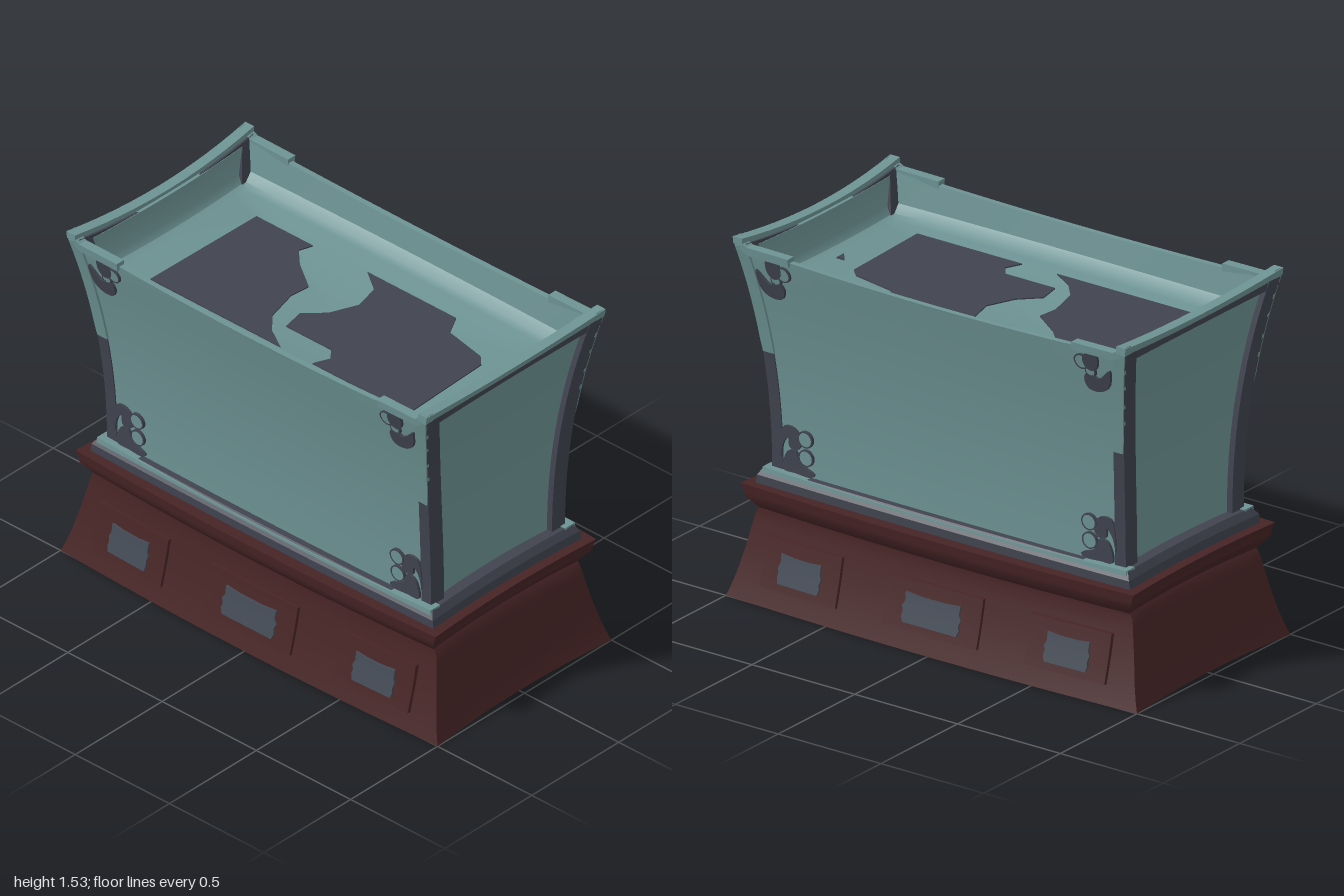
import * as THREE from 'three';
import { toCreasedNormals } from 'three/addons/utils/BufferGeometryUtils.js';

const mat = (name, color) => {
  const m = new THREE.MeshStandardMaterial({ color });
  m.name = name;
  return m;
};

// Turn loose triangles into an outward-facing solid with creased normals
function finish(geo, crease = 0.6) {
  const g = geo.index ? geo.toNonIndexed() : geo;
  const p = g.attributes.position.array;
  const a = new THREE.Vector3(), b = new THREE.Vector3(), c = new THREE.Vector3();
  let volume = 0;
  for (let i = 0; i < p.length; i += 9) {
    a.fromArray(p, i); b.fromArray(p, i + 3); c.fromArray(p, i + 6);
    volume += a.dot(b.cross(c));
  }
  if (volume < 0) {
    for (let i = 0; i < p.length; i += 9) {
      for (let k = 0; k < 3; k++) [p[i + 3 + k], p[i + 6 + k]] = [p[i + 6 + k], p[i + 3 + k]];
    }
  }
  return toCreasedNormals(g, crease);
}

// Skin a row of closed rings and cap both ends
function loft(rings, crease) {
  const out = [], n = rings[0].length;
  const tri = (...pts) => pts.forEach(q => out.push(...q));
  for (let r = 0; r + 1 < rings.length; r++) {
    for (let i = 0; i < n; i++) {
      const j = (i + 1) % n, A = rings[r], B = rings[r + 1];
      tri(A[i], A[j], B[j]);
      tri(A[i], B[j], B[i]);
    }
  }
  [rings[0], rings[rings.length - 1]].forEach((R, end) => {
    const mid = [0, 1, 2].map(k => R.reduce((s, q) => s + q[k], 0) / n);
    for (let i = 0; i < n; i++) {
      const j = (i + 1) % n;
      end ? tri(mid, R[i], R[j]) : tri(mid, R[j], R[i]);
    }
  });
  const g = new THREE.BufferGeometry();
  g.setAttribute('position', new THREE.Float32BufferAttribute(out, 3));
  return finish(g, crease);
}

// Plan outline: long sides bow out, short ends dip in
function plan(hx, hz, bow, dip, y) {
  const pts = [], N = 12;
  const Y = (x, z) => (typeof y === 'function' ? y(x, z) : y);
  for (const s of [1, -1]) {
    for (let i = 0; i < N; i++) {
      const t = -1 + 2 * i / N, x = s * hx * t, z = s * (hz - dip * (1 - t * t));
      pts.push([x, Y(x, z), z]);
    }
    for (let i = 0; i < N; i++) {
      const t = 1 - 2 * i / N, x = s * (hx + bow * (1 - t * t)), z = s * hz * t;
      pts.push([x, Y(x, z), z]);
    }
  }
  return pts;
}

// Flared tank outline by height
const rise = y => Math.max(0, (y - 0.54) / 0.99);
const tankX = y => 0.385 + 0.13 * rise(y) ** 1.9;
const tankZ = y => 0.86 + 0.095 * rise(y) ** 2.4;
const steps = (a, b, n) => Array.from({ length: n + 1 }, (_, i) => a + (b - a) * i / n);

// Base moulding: [height, half width, half depth] at the corners
const BASE = [[0, 0.5, 1], [0.04, 0.488, 0.985], [0.1, 0.471, 0.967], [0.2, 0.445, 0.945], [0.3, 0.425, 0.925],
  [0.35, 0.415, 0.915], [0.37, 0.415, 0.9], [0.42, 0.455, 0.94], [0.44, 0.458, 0.941], [0.475, 0.462, 0.955]];
const baseX = (y, z) => {
  const i = Math.max(1, BASE.findIndex(l => l[0] >= y)), a = BASE[i - 1], b = BASE[i];
  return THREE.MathUtils.lerp(a[1], b[1], (y - a[0]) / (b[0] - a[0])) + 0.028 * (1 - z * z);
};
const glassX = (y, z) => tankX(y) - 0.006 + 0.01 * (1 - (z / 0.9) ** 2);

// Extrude an outline drawn in (z, y) and wrap it on the +x surface
function wrap(shape, surface, depth, side = 1) {
  const g = new THREE.ExtrudeGeometry(shape, { depth, bevelEnabled: false, curveSegments: 10 });
  const p = g.attributes.position;
  for (let i = 0; i < p.count; i++) {
    const z = p.getX(i), y = p.getY(i), w = p.getZ(i);
    p.setXYZ(i, surface(y, z) + (w > 0 ? w : -0.004), y, z * side);
  }
  return finish(g);
}
const poly = pts => new THREE.Shape(pts.map(q => new THREE.Vector2(...q)));
const blob = pts => new THREE.Shape(
  new THREE.CatmullRomCurve3(pts.map(q => new THREE.Vector3(q[0], q[1], 0)), true)
    .getPoints(28).slice(0, -1).map(q => new THREE.Vector2(q.x, q.y)));
const disc = (z, y, r, hole) => {
  const s = new THREE.Shape().absarc(z, y, r, 0, Math.PI * 2);
  if (hole) s.holes.push(new THREE.Path().absarc(z, y, hole, 0, Math.PI * 2, true));
  return s;
};
const rect = (x0, x1, z0, z1, y) => [[x0, y, z0], [x1, y, z0], [x1, y, z1], [x0, y, z1]];

export function createModel() {
  const teal = mat('teal glass', 0x6d9293);
  const slate = mat('dark slate frame', 0x40434f);
  const wood = mat('dark red wood', 0x472425);
  const steel = mat('plate metal', 0x434a55);
  const model = new THREE.Group();
  model.name = 'tank';
  const add = (parent, name, geo, m) => {
    const mesh = new THREE.Mesh(geo, m);
    mesh.name = name;
    parent.add(mesh);
  };

  // Wooden base and the tray on it
  add(model, 'base', loft(BASE.map(([y, x, z]) => plan(x, z, 0.028, 0.028 - 0.02 * y, y))), wood);
  add(model, 'tray', loft([[0.46, 0.425, 0.912], [0.51, 0.425, 0.905], [0.54, 0.405, 0.885]]
    .map(([y, x, z]) => plan(x, z, 0.012, 0.015, y)), 0.4), slate);

  // Glass walls, turned over at the lip and closed by the water surface
  const lip = (x, z) => 1.47 + 0.02 * (z / 0.93) ** 2;
  const walls = steps(0.53, 1.44, 10).map(y => plan(tankX(y) - 0.006, tankZ(y) - 0.02, 0.01, 0.02, y));
  const top = [tankX(1.47), tankZ(1.47)];
  walls.push(plan(top[0] - 0.006, top[1] - 0.02, 0.01, 0.02, lip));
  walls.push(plan(top[0] - 0.03, top[1] - 0.045, 0.01, 0.02, lip));
  walls.push(plan(0.452, 0.89, 0.01, 0.015, 1.37));
  walls.push(plan(0.42, 0.87, 0.01, 0.015, 1.34));
  walls.push(plan(0.385, 0.84, 0.01, 0.015, 1.33));
  add(model, 'glass', loft(walls), teal);

  // Dark shapes on the water
  const pools = [
    [[-.32, -.69], [.28, -.68], [.28, -.38], [.22, -.4], [.15, -.33], [.06, -.2], [-.03, -.21], [-.18, -.17], [-.26, -.1], [-.32, 0]],
    [[-.32, .17], [-.25, .2], [-.2, .16], [-.2, -.08], [-.1, -.1], [-.02, -.02], [.1, .03], [.22, 0], [.29, -.1],
      [.29, .37], [.2, .42], [.16, .62], [.12, .66], [-.32, .68]],
    [[.01, .79], [.06, .75], [.06, .79]]];
  for (const pts of pools) {
    const g = new THREE.ExtrudeGeometry(poly(pts), { depth: 0.006, bevelEnabled: false });
    g.rotateX(Math.PI / 2).translate(0, 1.335, 0);
    add(model, 'waterPatch', finish(g), slate);
  }

  // Short ends: posts and curved top bars
  const bar = (hx, y0, y1, sag0, sag1, z0, z1) => loft(steps(-1, 1, 12).map(t => {
    const k = 1 - t * t, d = 0.02 * k;
    const a = y0 - sag0 * k, b = y1 - sag1 * k;
    return [[t * hx, a, z0 - d], [t * hx, a, z1 - d], [t * hx, b, z1 + 0.004 - d], [t * hx, b, z0 - d]];
  }), 0.4);
  const makeEnd = () => {
    const g = new THREE.Group();
    g.name = 'endFrame';
    for (const s of [1, -1]) {
      add(g, 'post', loft(steps(0.53, 1.5, 12).map(y =>
        rect(s * (tankX(y) - 0.075), s * tankX(y), tankZ(y) - 0.052, tankZ(y), y)), 0.4), slate);
      add(g, 'postSkin', loft(steps(1.04, 1.5, 8).map((y, i) =>
        rect(s * (tankX(y) - 0.01), s * (tankX(y) + 0.005), tankZ(y) - 0.056, tankZ(y) - 0.004 * (i < 1), y)), 0.4), teal);
    }
    add(g, 'topBar', bar(0.5, 1.465, 1.51, 0.012, 0.025, 0.9, 0.945), slate);
    add(g, 'topCap', bar(0.515, 1.505, 1.535, 0.025, 0.032, 0.91, 0.952), teal);
    return g;
  };

  // Corner scrolls on the long sides
  const scrolls = [
    [blob([[.815, .6], [.8, .73], [.745, .735], [.71, .69], [.73, .645], [.77, .65], [.775, .69], [.8, .66]]), slate],
    [blob([[.8, .55], [.78, .63], [.74, .64], [.715, .59], [.65, .56], [.66, .545], [.74, .545]]), slate],
    [disc(.69, .7, .03), teal], [disc(.69, .7, .036, .03), slate],
    [disc(.69, .62, .03), teal], [disc(.69, .62, .036, .03), slate],
    [blob([[.86, 1.41], [.845, 1.33], [.8, 1.3], [.745, 1.305], [.73, 1.35], [.76, 1.385], [.79, 1.36], [.81, 1.365]]), slate],
    [blob([[.8, 1.47], [.76, 1.47], [.735, 1.44], [.745, 1.4], [.78, 1.39], [.805, 1.42]]), slate],
    [disc(.725, 1.42, .028), teal], [disc(.725, 1.42, .034, .028), slate],
    [disc(.765, 1.385, .02), teal], [disc(.765, 1.385, .025, .02), slate]];

  const makeSide = () => {
    const g = new THREE.Group();
    g.name = 'longSide';
    // Sill along the foot of the glass
    add(g, 'sill', loft(steps(-1, 1, 12).map(t => {
      const k = 1 - t * t, z = 0.885 * t, x = 0.415 + 0.012 * k, y = 0.545 - 0.012 * k;
      return [[0.36, 0.5, z], [x + 0.003, y - 0.03, z], [x, y, z], [0.36, y, z]];
    }), 0.4), teal);
    for (const s of [1, -1]) {
      scrolls.forEach(([shape, m], i) => add(g, 'scroll', wrap(shape, glassX, 0.01 + 0.001 * (i % 4), s), m));
      // Short rail capping the glass beside the corner
      add(g, 'cornerRail', loft([[0.69, 1.5], [0.89, 1.502], [0.95, 1.535]].map(([z, y]) =>
        [[0.472, y - 0.035, s * z], [0.51, y - 0.035, s * z], [0.514, y, s * z], [0.472, y, s * z]]), 0.4), teal);
    }
    // Raised panels with scalloped metal plates
    for (const [c, w, h] of [[0, 0.14, 0.23], [0.65, 0.105, 0.19], [-0.65, 0.105, 0.19]]) {
      add(g, 'panel', loft(steps(c - h, c + h, 6).map(z => [
        [baseX(0.08, z) - 0.03, 0.08, z], [baseX(0.08, z) + 0.014, 0.08, z], [baseX(0.18, z) + 0.014, 0.18, z],
        [baseX(0.28, z) + 0.014, 0.28, z], [baseX(0.28, z) - 0.03, 0.28, z]]), 0.4), wood);
      const half = [[.93, .112], [1, .135], [.96, .155], [1.02, .175], [.93, .195], [.95, .23]];
      const outline = [...half.map(([u, y]) => [c + u * w, y]), [c + 0.4 * w, 0.224], [c - 0.4 * w, 0.224],
        ...half.map(([u, y]) => [c - u * w, y]).reverse()];
      add(g, 'plate', wrap(poly(outline), (y, z) => baseX(y, z) + 0.014, 0.008), steel);
    }
    return g;
  };

  for (const turn of [0, Math.PI]) {
    for (const part of [makeEnd(), makeSide()]) {
      part.rotation.y = turn;
      model.add(part);
    }
  }
  return model;
}
